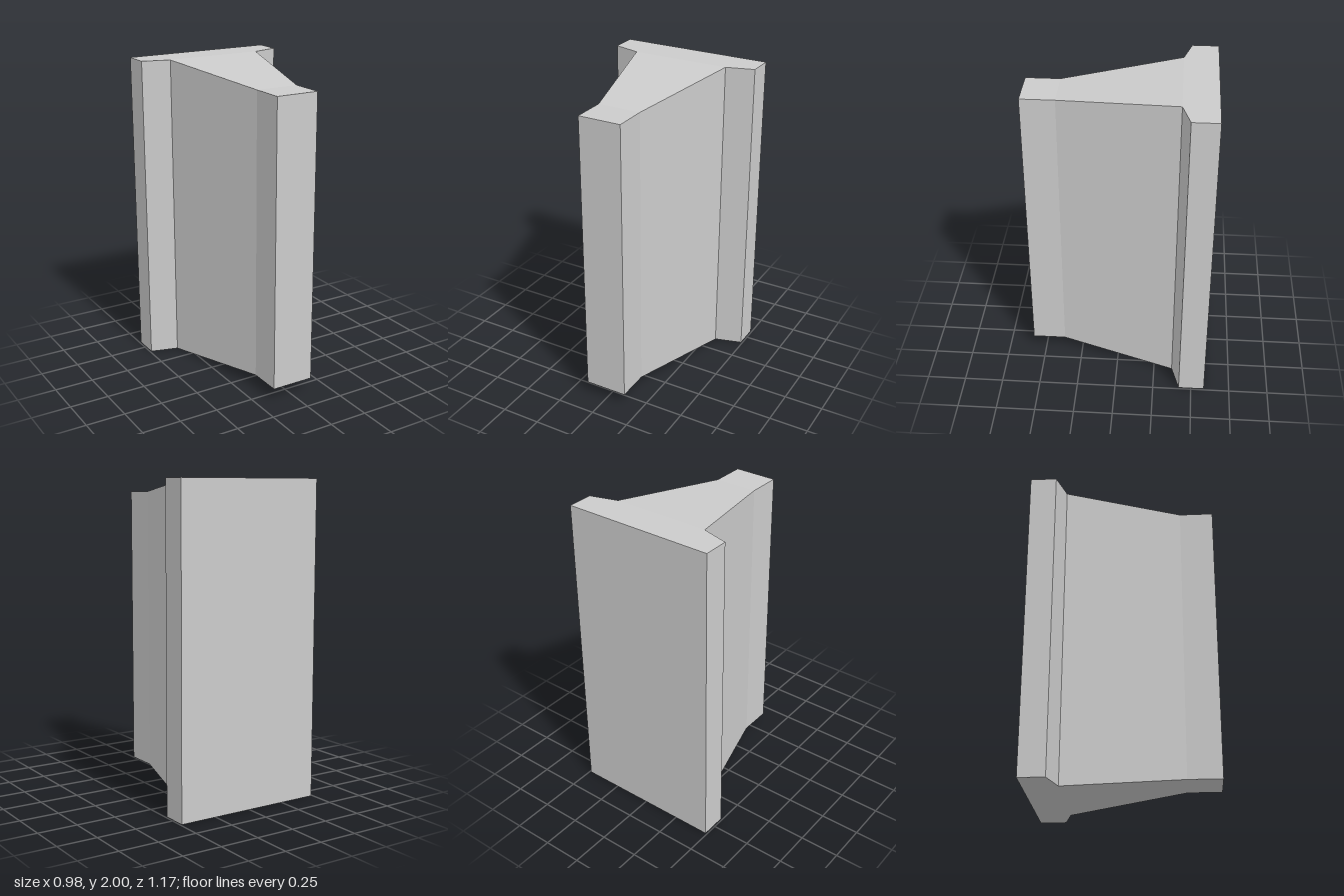
import * as THREE from 'three';

// Cross-sections from back to front: [z, half width, inset at top and bottom]
const SECTIONS = [
  [-0.585, 0.49, 0],
  [-0.42, 0.49, 0],
  [-0.37, 0.315, 0],
  [0.37, 0.138, 0.08],
  [0.585, 0.138, 0.08],
];
const HEIGHT = 2;

// Lofts rectangular sections into a closed, flat-faced solid
function loftRectangles(sections) {
  const rings = sections.map(([z, w, inset]) => [
    [w, inset, z],
    [w, HEIGHT - inset, z],
    [-w, HEIGHT - inset, z],
    [-w, inset, z],
  ]);
  const positions = [];
  const quad = (a, b, c, d) => positions.push(...a, ...b, ...c, ...a, ...c, ...d);

  for (let i = 0; i < rings.length - 1; i++) {
    const back = rings[i], front = rings[i + 1];
    for (let k = 0; k < 4; k++) {
      const n = (k + 1) % 4;
      quad(back[k], back[n], front[n], front[k]);
    }
  }
  quad(...rings[rings.length - 1]); // front face
  quad(...[...rings[0]].reverse()); // back face

  const geometry = new THREE.BufferGeometry();
  geometry.setAttribute('position', new THREE.Float32BufferAttribute(positions, 3));
  geometry.computeVertexNormals();
  return geometry;
}

export function createModel() {
  const group = new THREE.Group();
  group.name = 'buttress';

  // Back plate, tapering web and narrow front rib as one solid
  const body = new THREE.Mesh(
    loftRectangles(SECTIONS),
    new THREE.MeshStandardMaterial({ color: 0xcccccc, flatShading: true })
  );
  body.name = 'taperedPillar';
  group.add(body);
  return group;
}
